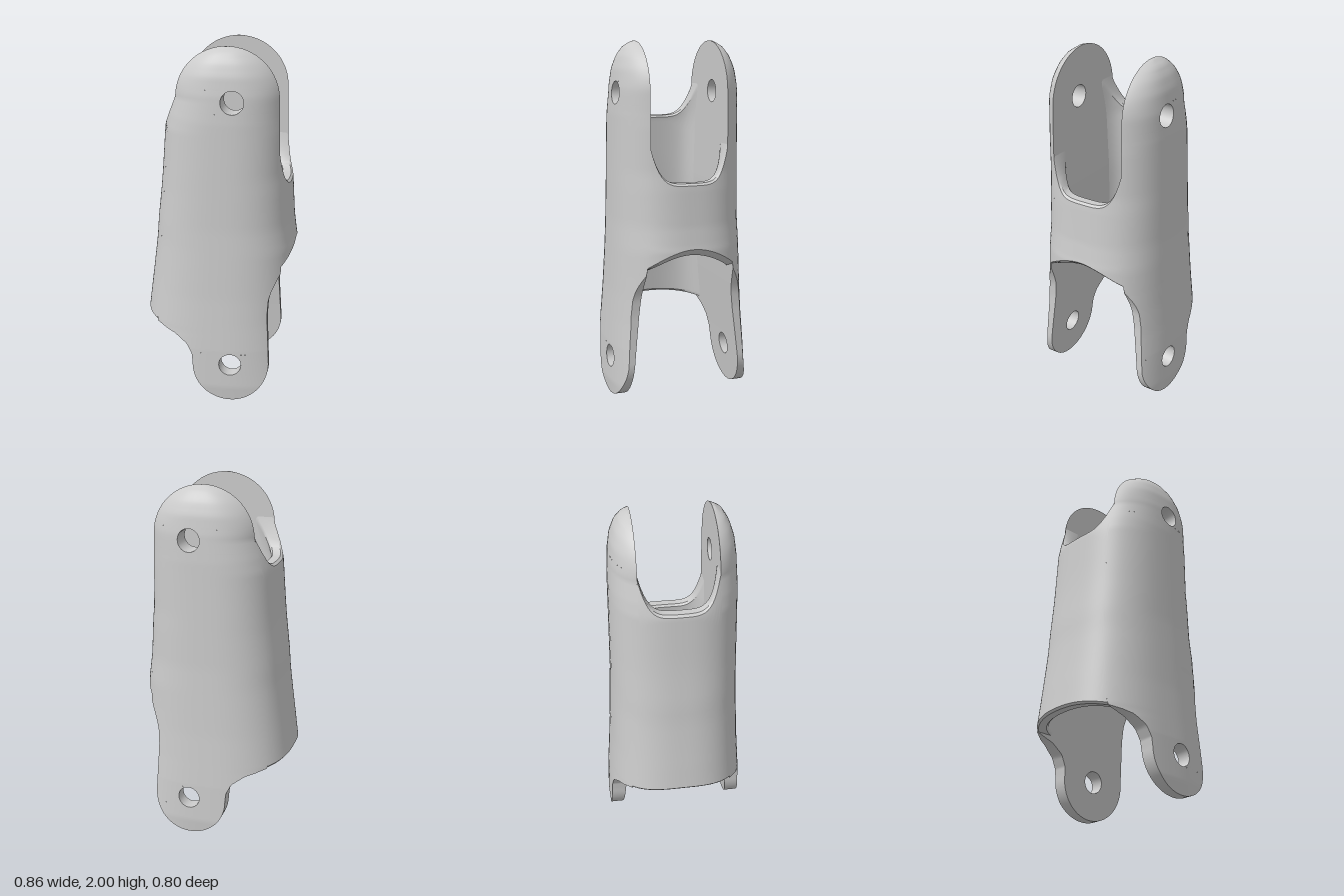
import * as THREE from 'three';
import { mergeGeometries, toCreasedNormals } from 'three/addons/utils/BufferGeometryUtils.js';

const POWER = 2.6;                       // squareness of the tube's oval section
const HOLE = { x: 0.1, r: 0.063, ys: [0.22, 1.72] };

// Piecewise-linear lookup in a short list of [y, value...] rows
function lookup(table, y, col = 1) {
  let i = 1;
  while (i < table.length - 1 && y > table[i][0]) i++;
  const a = table[i - 1], b = table[i];
  return THREE.MathUtils.lerp(a[col], b[col], THREE.MathUtils.clamp((y - a[0]) / (b[0] - a[0]), 0, 1));
}

// Half depth of the cavity and of the outside, by height
const cavity = [[0, 0.33], [0.3, 0.3], [0.6, 0.268], [0.9, 0.237], [1.2, 0.222], [2, 0.22]];
const outside = [[0, 0.393], [0.08, 0.4], [0.3, 0.394], [0.6, 0.375], [1, 0.36], [1.6, 0.355],
  [1.75, 0.348], [1.85, 0.335], [1.92, 0.312], [1.97, 0.28], [2, 0.235]];
// Where the side plates meet the walls: x on the right and on the left
const edges = [[0, -0.36, 0.38], [0.45, -0.34, 0.36], [0.87, -0.32, 0.37], [1, -0.315, 0.357],
  [1.2, -0.3, 0.353], [1.3, -0.292, 0.345], [1.54, -0.275, 0.345], [1.62, -0.258, 0.342], [1.72, -0.23, 0.34]];
// Side outline of the lower ears
const trimRight = [[0.215, -0.115], [0.27, -0.12], [0.33, -0.15], [0.38, -0.22], [0.42, -0.34], [0.45, -0.45]];
const trimLeft = [[0.215, 0.315], [0.5, 0.3], [0.6, 0.305], [0.66, 0.325], [0.75, 0.37], [0.87, 0.45]];

// Tube section at height y: centre, half width, half depth, cavity depth, plate edges
function section(y) {
  const zIn = lookup(cavity, y), zOut = lookup(outside, y);
  let lo = lookup(edges, y, 1), hi = lookup(edges, y, 2);
  if (y > 1.72) {
    const h = 0.285 * Math.sqrt(Math.max(0, 1 - ((y - 1.72) / 0.28) ** 2));
    lo = 0.055 - h;
    hi = 0.055 + h;
  }
  const k = (1 - (zIn / zOut) ** POWER) ** (1 / POWER);
  return { zIn, zOut, lo, hi, c: (lo + hi) / 2, half: (hi - lo) / 2 / k };
}

const oval = (u) => Math.max(0, 1 - Math.min(1, Math.abs(u)) ** POWER) ** (1 / POWER);

// x limits of a side plate, with the lower ears cut to a rounded outline
function plateSpan(y) {
  const s = section(y);
  if (y < 0.215) {
    const h = 0.215 * Math.sqrt(Math.max(0, 1 - ((0.215 - y) / 0.215) ** 2));
    return [0.1 - h, 0.1 + h];
  }
  return [Math.max(s.lo, lookup(trimRight, y)), Math.min(s.hi, lookup(trimLeft, y))];
}

// Evenly spaced or end-weighted steps from a to b
function steps(a, b, n) {
  return Array.from({ length: n + 1 }, (_, i) => a + (b - a) * (1 - Math.cos(Math.PI * i / n)) / 2);
}

// Skin a list of closed loops
function loft(loops, flip) {
  const n = loops[0].length, index = [];
  for (let i = 0; i < loops.length - 1; i++) {
    for (let j = 0; j < n; j++) {
      const a = i * n + j, b = i * n + (j + 1) % n, c = b + n, d = a + n;
      index.push(...(flip ? [a, c, b, a, d, c] : [a, b, c, a, c, d]));
    }
  }
  const g = new THREE.BufferGeometry();
  g.setAttribute('position', new THREE.Float32BufferAttribute(loops.flat(2), 3));
  g.setIndex(index);
  return g;
}

// One side plate with its two ears and two pin holes; side is +1 or -1 along z
function sidePlate(side) {
  const [h0, h1] = HOLE.ys, r = HOLE.r;
  const holeHalf = (y, h) => Math.sqrt(Math.max(0, r * r - (y - h) ** 2));
  const strip = (y0, y1, rows, span) => loft(steps(y0, y1, rows).map((y) => {
    const s = section(y), [xa, xb] = span(y);
    const xs = steps(xa, xb, 24);
    const outer = xs.map((x) => [x, y, side * Math.max(s.zIn, s.half > 1e-6 ? s.zOut * oval((x - s.c) / s.half) : s.zIn)]);
    const inner = xs.reverse().map((x) => [x, y, side * s.zIn]);
    return [...outer, ...inner];
  }), side < 0);
  const parts = [
    strip(0, h0 - r, 16, plateSpan),
    strip(h0 + r, h1 - r, 64, plateSpan),
    strip(h1 + r, 2, 20, plateSpan),
  ];
  for (const h of HOLE.ys) {
    parts.push(strip(h - r, h + r, 14, (y) => [plateSpan(y)[0], HOLE.x - holeHalf(y, h)]));
    parts.push(strip(h - r, h + r, 14, (y) => [HOLE.x + holeHalf(y, h), plateSpan(y)[1]]));
  }
  return mergeGeometries(parts);
}

// Curved wall joining the plates; bottom(t) and top(t) are its rims, t = -1..1 across
function wall(side, bottom, top, lip) {
  const columns = steps(-1, 1, 36).map((t) => {
    const at = (y, inset) => {
      const s = section(y), z = t * s.zIn;
      return [s.c + side * (s.half * oval(z / s.zOut) - inset), y, z];
    };
    const thick = 0.07 + 0.04 * t ** 8, soft = 0.012;
    const b = bottom(t), e = top(t);
    const outer = steps(b + soft, e - soft, 30).map((y) => at(y, 0));
    const inner = steps(e - soft, b - lip + soft, 30).map((y) => at(y, thick));
    // softened rims between the two skins
    return [...outer, at(e, soft), at(e, thick - soft), ...inner,
      at(b - lip, thick - soft), at(b, soft)];
  });
  return loft(columns, side < 0);
}

export function createModel() {
  const group = new THREE.Group();
  const material = new THREE.MeshStandardMaterial({ color: 0xcccccc, side: THREE.DoubleSide });
  const add = (name, geometry) => {
    const mesh = new THREE.Mesh(toCreasedNormals(geometry, 0.6), material);
    mesh.name = name;
    group.add(mesh);
  };

  add('frontSidePlate', sidePlate(1));
  add('backSidePlate', sidePlate(-1));
  // Short wall with an arch below and a U-shaped slot above
  add('leftWall', wall(1, (t) => 0.87 - 0.1 * t * t, (t) => 1.24 + 0.2 * Math.abs(t) ** 5, 0.03));
  // Long wall on the other side
  add('rightWall', wall(-1, (t) => 0.45 - 0.03 * t * t, (t) => 1.56 + 0.19 * Math.abs(t) ** 5, 0));
  return group;
}
